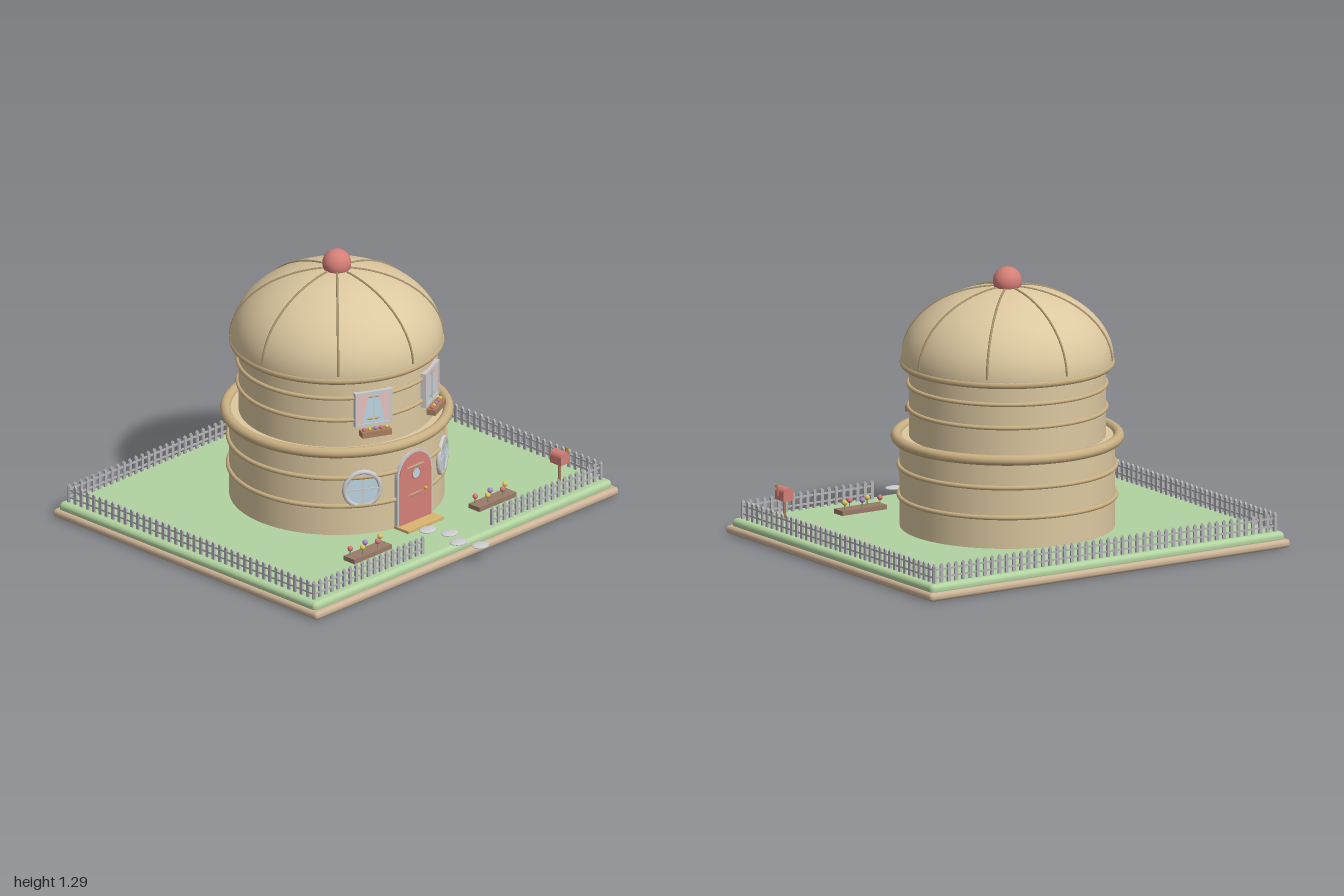
import * as THREE from 'three';
import { RoundedBoxGeometry } from 'three/addons/geometries/RoundedBoxGeometry.js';

const mat = (color, side = THREE.FrontSide) => new THREE.MeshStandardMaterial({ color, side });
const TAN = mat(0xdcc8a0), TRIM = mat(0xc9b083), RIB = mat(0xa8936c), BASE = mat(0xcdb498);
const GREEN = mat(0xb2d3a0), RED = mat(0xd57f78), GREY = mat(0xcccccc), GLASS = mat(0xbcd6e2);
const BROWN = mat(0xa9805f), SOIL = mat(0x9a7b68), STEP = mat(0xd9b56f), GOLD = mat(0xd9b84a);
const FENCE = mat(0xb4b4b8), CURTAIN = mat(0xe6c3c0, THREE.DoubleSide), LEAF = mat(0x7fa56b);
const PETALS = [mat(0xd9777a), mat(0xe2c65a), mat(0xa98bc4)];

const GROUND = 0.075, CZ = -0.045; // lawn height, tower axis

function add(parent, name, geometry, material, x = 0, y = 0, z = 0) {
  const m = new THREE.Mesh(geometry, material);
  m.name = name;
  m.position.set(x, y, z);
  parent.add(m);
  return m;
}
const box = (w, h, d) => new THREE.BoxGeometry(w, h, d);
const ball = (r, n = 14) => new THREE.SphereGeometry(r, n, Math.ceil(n * 0.7));

function sub(parent, name) {
  const g = new THREE.Group();
  g.name = name;
  parent.add(g);
  return g;
}

// Group sitting on a round wall, facing outwards
function onWall(parent, name, radius, angle, y) {
  const g = sub(parent, name);
  g.position.set(radius * Math.sin(angle), y, CZ + radius * Math.cos(angle));
  g.rotation.y = angle;
  return g;
}

// Arched outline with its foot at y = 0
function archShape(r, spring) {
  const s = new THREE.Shape();
  s.moveTo(-r, 0);
  s.lineTo(r, 0);
  s.lineTo(r, spring);
  s.absarc(0, spring, r, 0, Math.PI, false);
  s.lineTo(-r, 0);
  return s;
}

function buildTower(root) {
  const g = sub(root, 'tower');
  const ring = (name, y, R, r, m = TRIM) => {
    add(g, name, new THREE.TorusGeometry(R, r, 12, 80), m, 0, y, CZ).rotation.x = Math.PI / 2;
  };
  add(g, 'lowerWall', new THREE.CylinderGeometry(0.496, 0.496, 0.43, 72), TAN, 0, 0.285, CZ);
  add(g, 'upperWall', new THREE.CylinderGeometry(0.453, 0.453, 0.36, 72), TAN, 0, 0.67, CZ);
  for (const y of [0.222, 0.363]) ring('lowerBand', y, 0.5, 0.011);
  for (const y of [0.636, 0.746]) ring('upperBand', y, 0.456, 0.01);
  ring('ledge', 0.497, 0.513, 0.025);
  ring('eaves', 0.844, 0.478, 0.018);

  // Domed roof with a closed underside
  const profile = [new THREE.Vector2(0, 0.845), new THREE.Vector2(0.49, 0.845)];
  const N = 32;
  for (let i = 0; i <= N; i++) {
    const t = (i / N) * Math.PI / 2;
    profile.push(new THREE.Vector2(i === N ? 0 : 0.49 * Math.cos(t), 0.86 + 0.343 * Math.sin(t)));
  }
  add(g, 'domeRoof', new THREE.LatheGeometry(profile, 72), TAN, 0, 0, CZ);

  // Eight ribs following the dome
  const ribPoints = [];
  for (let i = 0; i <= 14; i++) {
    const t = 0.03 + (i / 14) * 1.5;
    ribPoints.push(new THREE.Vector3(0.491 * Math.cos(t), 0.86 + 0.344 * Math.sin(t), 0));
  }
  const rib = new THREE.TubeGeometry(new THREE.CatmullRomCurve3(ribPoints), 40, 0.0055, 6);
  for (let i = 0; i < 8; i++) add(g, 'roofRib', rib, RIB, 0, 0, CZ).rotation.y = i * Math.PI / 4;
  add(g, 'roofBall', ball(0.067, 28), RED, 0, 1.227, CZ);
}

function buildDoor(root) {
  const g = sub(root, 'door');
  g.position.set(0, GROUND, 0);
  const leaf = new THREE.ExtrudeGeometry(archShape(0.103, 0.25), { depth: 0.045, bevelEnabled: false, curveSegments: 24 });
  add(g, 'doorLeaf', leaf, RED, 0, 0, 0.417);
  // Arched surround
  const frame = archShape(0.115, 0.25);
  frame.holes.push(archShape(0.1, 0.25));
  add(g, 'doorFrame', new THREE.ExtrudeGeometry(frame, { depth: 0.045, bevelEnabled: false, curveSegments: 24 }), GREY, 0, 0, 0.412);
  add(g, 'doorWindow', new THREE.CylinderGeometry(0.026, 0.026, 0.01, 24), GLASS, 0, 0.252, 0.462).rotation.x = Math.PI / 2;
  add(g, 'windowRim', new THREE.TorusGeometry(0.026, 0.003, 6, 24), RED, 0, 0.252, 0.466);
  add(g, 'knob', ball(0.009), GOLD, 0.06, 0.16, 0.469);
  for (const y of [0.15, 0.298]) add(g, 'doorRail', box(0.14, 0.004, 0.006), RED, 0, y, 0.463);
  add(root, 'doorstep', box(0.236, 0.014, 0.13), STEP, 0, GROUND + 0.006, 0.465);
}

function buildRoundWindow(root, side) {
  const g = onWall(root, 'roundWindow', 0.497, side * 0.56, 0.303);
  add(g, 'frame', new THREE.TorusGeometry(0.084, 0.012, 10, 40), GREY);
  add(g, 'pane', new THREE.CylinderGeometry(0.084, 0.084, 0.012, 40), GLASS).rotation.x = Math.PI / 2;
  add(g, 'bar', box(0.007, 0.165, 0.012), GREY, 0, 0, 0.004);
  add(g, 'bar', box(0.165, 0.007, 0.012), GREY, 0, 0, 0.004);
}

function buildSquareWindow(root, side) {
  const g = onWall(root, 'squareWindow', 0.457, side * 0.425, 0.688);
  const W = 0.172, H = 0.158;
  add(g, 'pane', box(W, H, 0.014), GLASS);
  for (const s of [-1, 1]) {
    add(g, 'frameSide', box(0.012, H + 0.012, 0.026), GREY, s * W / 2, 0, 0);
    add(g, 'frameEnd', box(W + 0.012, 0.012, 0.026), GREY, 0, s * H / 2, 0);
    // Curtain, wide at the top and gathered at the outer edge below
    const c = new THREE.Shape();
    c.moveTo(s * 0.08, 0.072);
    c.lineTo(s * 0.022, 0.072);
    c.lineTo(s * 0.058, -0.072);
    c.lineTo(s * 0.08, -0.072);
    add(g, 'curtain', new THREE.ShapeGeometry(c), CURTAIN, 0, 0, 0.0095);
  }
  add(g, 'bar', box(0.007, H, 0.012), GREY, 0, 0, 0.006);
  // Planter under the sill
  add(g, 'windowBox', box(0.145, 0.028, 0.045), BROWN, 0, -0.112, 0.03);
  for (let i = 0; i < 5; i++) add(g, 'boxFlower', ball(0.009, 10), PETALS[i % 3], -0.056 + i * 0.028, -0.092, 0.03);
}

function buildFence(root) {
  const g = sub(root, 'fence');
  const shape = new THREE.Shape([[-0.008, 0], [0.008, 0], [0.008, 0.08], [0, 0.09], [-0.008, 0.08]].map(p => new THREE.Vector2(...p)));
  const picket = new THREE.ExtrudeGeometry(shape, { depth: 0.01, bevelEnabled: false });
  picket.translate(0, 0, -0.005);
  // One straight run from (x0, z0) to (x1, z1)
  const run = (x0, z0, x1, z1) => {
    const len = Math.hypot(x1 - x0, z1 - z0), n = Math.round(len / 0.04);
    const s = sub(g, 'fenceRun');
    s.position.set(x0, GROUND, z0);
    s.rotation.y = -Math.atan2(z1 - z0, x1 - x0);
    for (let i = 0; i <= n; i++) add(s, 'picket', picket, FENCE, i * len / n);
    for (const y of [0.025, 0.062]) add(s, 'rail', box(len, 0.008, 0.007), FENCE, len / 2, y, 0);
  };
  run(-0.945, -0.845, 0.945, -0.845);
  for (const s of [-1, 1]) {
    run(s * 0.945, -0.845, s * 0.945, 0.73);
    run(s * 0.945, 0.73, s * 0.23, 0.73);
  }
}

function buildFlowerBed(root, x) {
  const g = sub(root, 'flowerBed');
  g.position.set(x, GROUND, 0.555);
  add(g, 'soil', box(0.246, 0.024, 0.07), SOIL, 0, 0.01, 0);
  for (let i = 0; i < 5; i++) {
    const fx = -0.098 + i * 0.049, fz = i % 2 ? 0.016 : -0.016;
    add(g, 'stem', new THREE.CylinderGeometry(0.003, 0.003, 0.035, 6), LEAF, fx, 0.036, fz);
    add(g, 'bloom', ball(0.013, 12), PETALS[i % 3], fx, 0.056, fz);
  }
}

function buildMailbox(root) {
  const g = sub(root, 'mailbox');
  g.position.set(0.797, GROUND, 0.61);
  add(g, 'post', new THREE.CylinderGeometry(0.007, 0.007, 0.1, 10), BROWN, 0, 0.05, 0);
  const body = new THREE.ExtrudeGeometry(archShape(0.027, 0.035), { depth: 0.07, bevelEnabled: false });
  add(g, 'mailboxBody', body, RED, 0, 0.094, -0.035);
  add(g, 'flagArm', box(0.004, 0.055, 0.006), RED, 0.029, 0.14, 0.012);
  add(g, 'flag', box(0.004, 0.014, 0.022), GOLD, 0.029, 0.158, 0.02);
}

export function createModel() {
  const root = new THREE.Group();
  root.name = 'roundHouse';
  // Ground slab and lawn
  add(root, 'baseSlab', new RoundedBoxGeometry(2, 0.04, 1.7, 4, 0.018), BASE, 0, 0.02, -0.05);
  add(root, 'lawn', new RoundedBoxGeometry(1.965, 0.05, 1.655, 4, 0.022), GREEN, 0, 0.05, -0.053);
  buildTower(root);
  buildDoor(root);
  for (const s of [-1, 1]) {
    buildRoundWindow(root, s);
    buildSquareWindow(root, s);
    buildFlowerBed(root, s * 0.412);
  }
  buildFence(root);
  buildMailbox(root);
  // Stepping stones to the door
  for (let i = 0; i < 4; i++) {
    add(root, 'steppingStone', ball(1, 24), GREY, i % 2 ? 0.022 : -0.022, 0.077, 0.56 + i * 0.099).scale.set(0.044, 0.008, 0.037);
  }
  return root;
}
